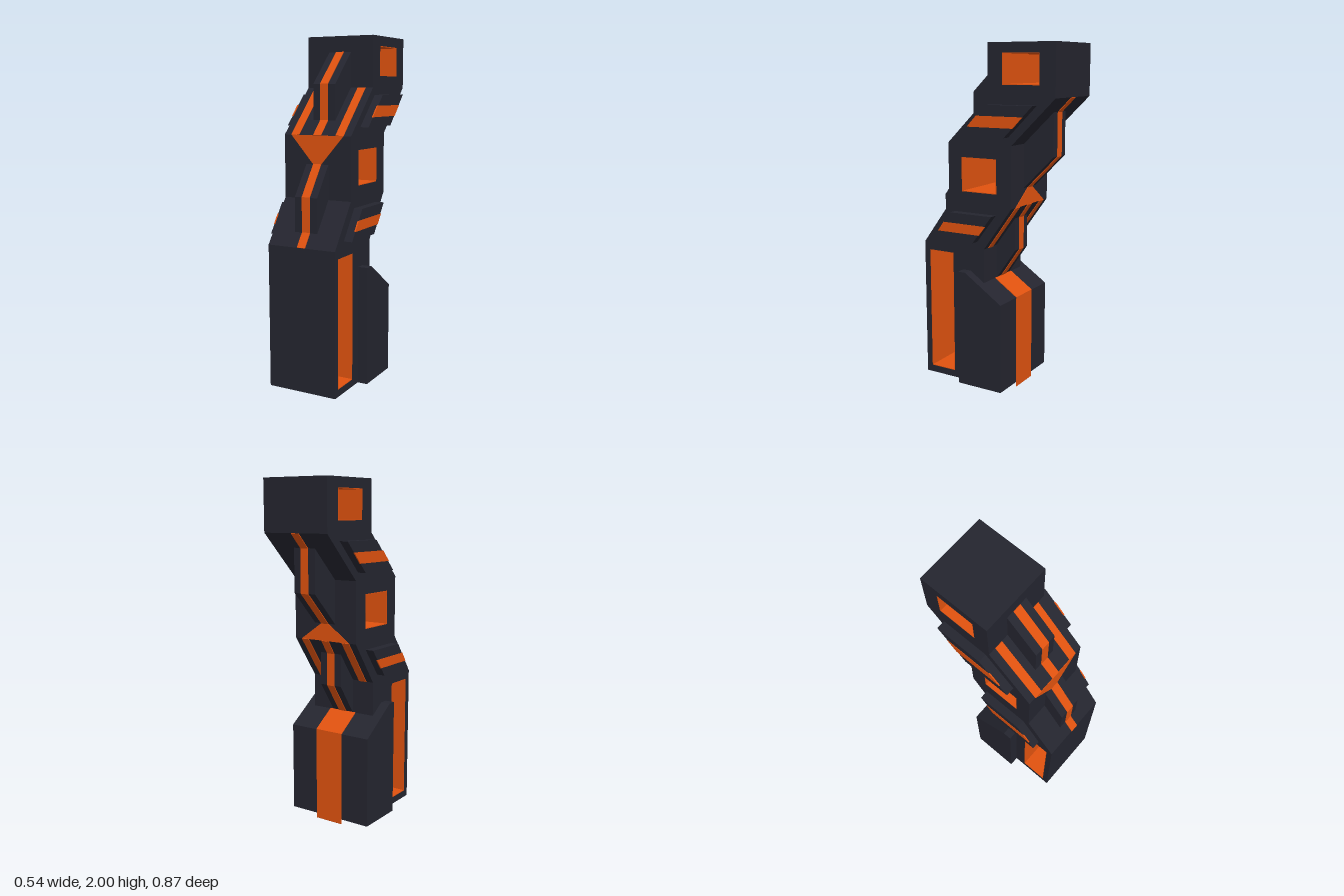
import * as THREE from 'three';

const dark = new THREE.MeshStandardMaterial({ color: 0x24252f });
dark.name = 'charcoal';
const orange = new THREE.MeshStandardMaterial({ color: 0xe0520f });
orange.name = 'orange';

export function createModel() {
  const model = new THREE.Group();
  const vectors = (pts) => pts.map(([a, b]) => new THREE.Vector2(a, b));
  const rect = (z0, z1, y0, y1, m = 0) =>
    [[z0 - m, y0 - m], [z1 + m, y0 - m], [z1 + m, y1 + m], [z0 - m, y1 + m]];

  function add(name, geometry, material) {
    const mesh = new THREE.Mesh(geometry, material);
    mesh.name = name;
    model.add(mesh);
  }

  // Extrude a side profile of [z, y] points across x0..x1
  function slab(name, profile, x0, x1, material, holes = []) {
    const shape = new THREE.Shape(vectors(profile));
    holes.forEach((h) => shape.holes.push(new THREE.Path(vectors(h))));
    const geo = new THREE.ExtrudeGeometry(shape, { depth: x1 - x0, bevelEnabled: false });
    geo.rotateY(-Math.PI / 2).translate(x1, 0, 0);
    add(name, geo, material);
  }

  // Thin painted strip that follows a side path, raised by (dz, dy)
  function strip(name, path, x0, x1, dz, dy) {
    const raised = path.map(([z, y]) => [z + dz, y + dy]);
    slab(name, [...raised, ...[...path].reverse()], x0, x1, orange);
  }

  // Three stacked boxes joined by two slanted necks, with windows through the sides
  const windows = [
    [0.23, 0.39, 0.075, 0.80],
    [-0.065, 0.158, 1.178, 1.367],
    [-0.33, -0.11, 1.78, 1.94],
  ];
  const liner = 0.004;
  slab('body', [
    [0.43, 0.03], [0.43, 0.85], [0.25, 1.095], [0.25, 1.45], [-0.015, 1.71], [-0.015, 2],
    [-0.43, 2], [-0.43, 1.71], [-0.165, 1.45], [-0.165, 1.1], [0.015, 0.85], [0.015, 0.03],
  ], -0.21, 0.21, dark, windows.map((w) => rect(...w, liner)));
  windows.forEach((w) =>
    slab('windowLining', rect(...w, liner), -0.209, 0.209, orange, [rect(...w)]));

  // Central ridges on the front and back of each neck
  const ridges = {
    lowerFrontRidge: [[0.375, 0.925], [0.375, 1.12], [0.25, 1.29], [0.25, 1.095]],
    upperFrontRidge: [[0.17, 1.53], [0.17, 1.73], [-0.015, 1.91], [-0.015, 1.71]],
    lowerBackRidge: [[0.015, 0.65], [-0.11, 0.83], [-0.11, 1.02], [0.015, 0.85]],
    upperBackRidge: [[-0.165, 1.2], [-0.35, 1.385], [-0.35, 1.63], [-0.165, 1.45]],
  };
  for (const [name, profile] of Object.entries(ridges)) slab(name, profile, -0.07, 0.07, dark);

  // Slanted side plates with a painted bar on each side
  const plates = [
    {
      plate: [[0.33, 0.89], [0.21, 1.055], [-0.065, 1.055], [0.06, 0.89]],
      bar: [[0.297, 0.94], [0.257, 0.995], [-0.025, 0.995], [0.018, 0.94]],
    },
    {
      plate: [[0.14, 1.495], [-0.04, 1.67], [-0.32, 1.67], [-0.145, 1.495]],
      bar: [[0.09, 1.548], [0.03, 1.61], [-0.26, 1.61], [-0.2, 1.548]],
    },
  ];
  for (const { plate, bar } of plates) {
    slab('rightSidePlate', plate, -0.26, -0.2, dark);
    slab('leftSidePlate', plate, 0.2, 0.26, dark);
    slab('rightSideBar', bar, -0.262, -0.255, orange);
    slab('leftSideBar', bar, 0.255, 0.262, orange);
  }

  // Wide block behind the lowest box, with a stripe hanging to the ground
  slab('rearBlock', [[0.157, 0.03], [0.157, 0.713], [0.107, 0.713], [-0.13, 0.555], [-0.13, 0.03]],
    -0.268, 0.268, dark);
  strip('rearBlockStripe', [[-0.13, 0], [-0.13, 0.555], [0.015, 0.652]], -0.09, 0.09, -0.003, 0.003);

  // Centre stripes running over the ridges
  const w = 0.025;
  strip('lowerFrontStripe', [[0.43, 0.85], [0.375, 0.925], [0.375, 1.12], [0.25, 1.29]], -w, w, 0.003, 0.002);
  strip('upperFrontStripe', [[0.25, 1.45], [0.17, 1.53], [0.17, 1.73], [-0.015, 1.91]], -w, w, 0.003, 0.002);
  strip('lowerBackStripe', [[0.015, 0.65], [-0.11, 0.83], [-0.11, 1.02], [-0.165, 1.1]], -w, w, -0.003, -0.002);
  strip('upperBackStripe', [[-0.165, 1.2], [-0.35, 1.385], [-0.35, 1.63], [-0.43, 1.71]], -w, w, -0.003, -0.002);

  // Outer prongs on the necks
  for (const x of [-0.165, 0.115]) {
    strip('frontProng', [[0.25, 1.45], [-0.015, 1.71]], x, x + 0.05, 0.003, 0.002);
    strip('backProng', [[0.015, 0.85], [-0.165, 1.1]], x, x + 0.05, -0.003, -0.002);
  }

  // Funnel shapes joining the prongs to the centre stripe
  function funnel(name, wideY, narrowY, z) {
    const shape = new THREE.Shape(vectors([[-0.165, wideY], [0.165, wideY], [w, narrowY], [-w, narrowY]]));
    const geo = new THREE.ExtrudeGeometry(shape, { depth: 0.006, bevelEnabled: false });
    add(name, geo.translate(0, 0, z - 0.003), orange);
  }
  funnel('frontFunnel', 1.45, 1.29, 0.25);
  funnel('backFunnel', 1.1, 1.2, -0.165);

  return model;
}
